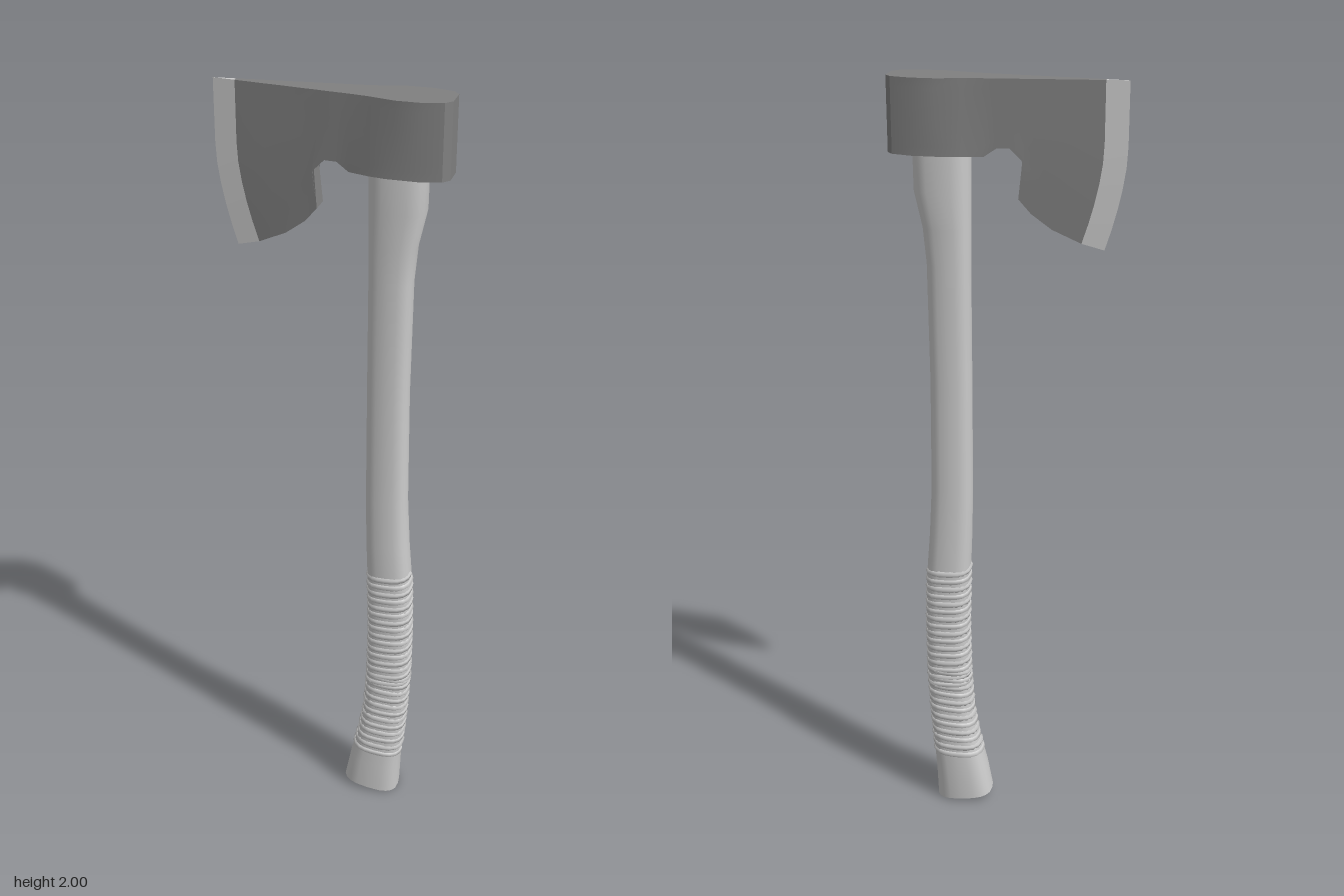
import * as THREE from 'three';
import { toCreasedNormals } from 'three/addons/utils/BufferGeometryUtils.js';

const material = (color) => new THREE.MeshStandardMaterial({ color });

// Joins equal-length rings of Vector3 (counter-clockwise seen from the end) into a skin.
function loft(rings, capStart, capEnd, crease) {
  const n = rings[0].length;
  const points = rings.flat();
  const index = [];
  for (let i = 0; i < rings.length - 1; i++) {
    for (let j = 0; j < n; j++) {
      const k = (j + 1) % n;
      const a = i * n + j, b = i * n + k, c = b + n, d = a + n;
      index.push(a, b, d, b, c, d);
    }
  }
  const cap = (r, flip) => {
    const centre = new THREE.Vector3();
    rings[r].forEach((p) => centre.addScaledVector(p, 1 / n));
    const m = points.push(centre) - 1;
    for (let j = 0; j < n; j++) {
      const a = r * n + j, b = r * n + (j + 1) % n;
      index.push(m, flip ? b : a, flip ? a : b);
    }
  };
  if (capStart) cap(0, true);
  if (capEnd) cap(rings.length - 1, false);
  const geometry = new THREE.BufferGeometry().setFromPoints(points);
  geometry.setIndex(index);
  return toCreasedNormals(geometry, crease);
}

// Head columns from cutting edge to poll: top x, bottom x, bottom y, half thickness top, bottom
const HEAD = [
  [-0.285, -0.235, 1.60, 0, 0],
  [-0.23, -0.18, 1.615, 0.006, 0.006],
  [-0.16, -0.11, 1.648, 0.014, 0.016],
  [-0.10, -0.06, 1.685, 0.02, 0.021],
  [-0.07, -0.03, 1.72, 0.024, 0.025],
  [-0.03, -0.04, 1.81, 0.028, 0.028],
  [-0.01, -0.01, 1.84, 0.031, 0.031],
  [0.02, 0.02, 1.84, 0.034, 0.034],
  [0.05, 0.05, 1.82, 0.037, 0.038],
  [0.10, 0.10, 1.82, 0.045, 0.053],
  [0.16, 0.14, 1.82, 0.06, 0.06],
  [0.22, 0.22, 1.82, 0.06, 0.06],
  [0.27, 0.27, 1.82, 0.047, 0.047],
  [0.285, 0.285, 1.82, 0.028, 0.028],
];
const ROWS = 8;

function headRing([topX, botX, botY, hTop, hBot]) {
  const front = [], back = [];
  for (let r = 0; r <= ROWS; r++) {
    const t = r / ROWS;
    const sweep = Math.max(0, (t - 0.4) / 0.6) ** 1.6; // straight above, curved below
    const x = topX + (botX - topX) * sweep;
    const y = 2 + (botY - 2) * t;
    const h = hTop + (hBot - hTop) * t;
    front.push(new THREE.Vector3(x, y, h));
    back.unshift(new THREE.Vector3(x, y, -h));
  }
  return [...front, ...back];
}

// Handle stations: y, min x, max x, half depth, tilt
const HANDLE = [
  [0.015, 0.045, 0.197, 0.055, 0.14],
  [0.10, 0.06, 0.2, 0.055, 0.1],
  [0.20, 0.083, 0.208, 0.052, 0],
  [0.28, 0.096, 0.214, 0.049, 0],
  [0.40, 0.104, 0.22, 0.047, 0],
  [0.55, 0.106, 0.221, 0.047, 0],
  [0.70, 0.102, 0.217, 0.047, 0],
  [0.82, 0.097, 0.207, 0.045, 0],
  [0.95, 0.094, 0.2, 0.042, 0],
  [1.25, 0.093, 0.197, 0.041, 0],
  [1.55, 0.093, 0.2, 0.043, 0],
  [1.64, 0.092, 0.208, 0.046, 0],
  [1.73, 0.091, 0.228, 0.05, 0],
  [1.90, 0.09, 0.23, 0.05, 0],
];

function handleStation(y) {
  let i = 0;
  while (i < HANDLE.length - 2 && HANDLE[i + 1][0] < y) i++;
  const t = (y - HANDLE[i][0]) / (HANDLE[i + 1][0] - HANDLE[i][0]);
  return HANDLE[i].map((v, k) => v + (HANDLE[i + 1][k] - v) * t);
}

// Point on the rounded, flat-sided grip section; inset moves it inward
function handlePoint([y, x0, x1, depth, tilt], angle, inset = 0) {
  const round = (v) => Math.sign(v) * Math.abs(v) ** 0.72;
  const dx = ((x1 - x0) / 2 - inset) * round(Math.cos(angle));
  const z = -(depth - inset) * round(Math.sin(angle));
  return new THREE.Vector3((x0 + x1) / 2 + dx, y - tilt * dx, z);
}

// Cord wound around the grip
function windingGeometry(y0, y1, turns, hand) {
  const steps = turns * 20;
  const path = [];
  for (let i = 0; i <= steps; i++) {
    const y = y0 + (y1 - y0) * i / steps;
    path.push(handlePoint(handleStation(y), hand * i * Math.PI / 10, 0.006));
  }
  return new THREE.TubeGeometry(new THREE.CatmullRomCurve3(path), steps, 0.0105, 6);
}

export function createModel() {
  const axe = new THREE.Group();
  axe.name = 'axe';
  const add = (name, geometry, mat) => {
    const mesh = new THREE.Mesh(geometry, mat);
    mesh.name = name;
    axe.add(mesh);
  };

  // Head and its ground cutting bevel
  const columns = HEAD.map(headRing);
  add('cuttingEdge', loft(columns.slice(0, 2), false, false, 0.5), material(0xf0f0f0));
  add('axeHead', loft(columns.slice(1), false, true, 0.5), material(0x808080));

  // Handle
  const wood = material(0xcccccc);
  const rings = HANDLE.map((station) =>
    Array.from({ length: 20 }, (_, j) => handlePoint(station, j * Math.PI / 10)));
  add('handle', loft(rings, true, true, 0.8), wood);

  // Grip wrap, two windings crossing in the middle
  add('upperGripWrap', windingGeometry(0.37, 0.73, 16, 1), wood);
  add('lowerGripWrap', windingGeometry(0.14, 0.42, 12, -1), wood);

  return axe;
}
